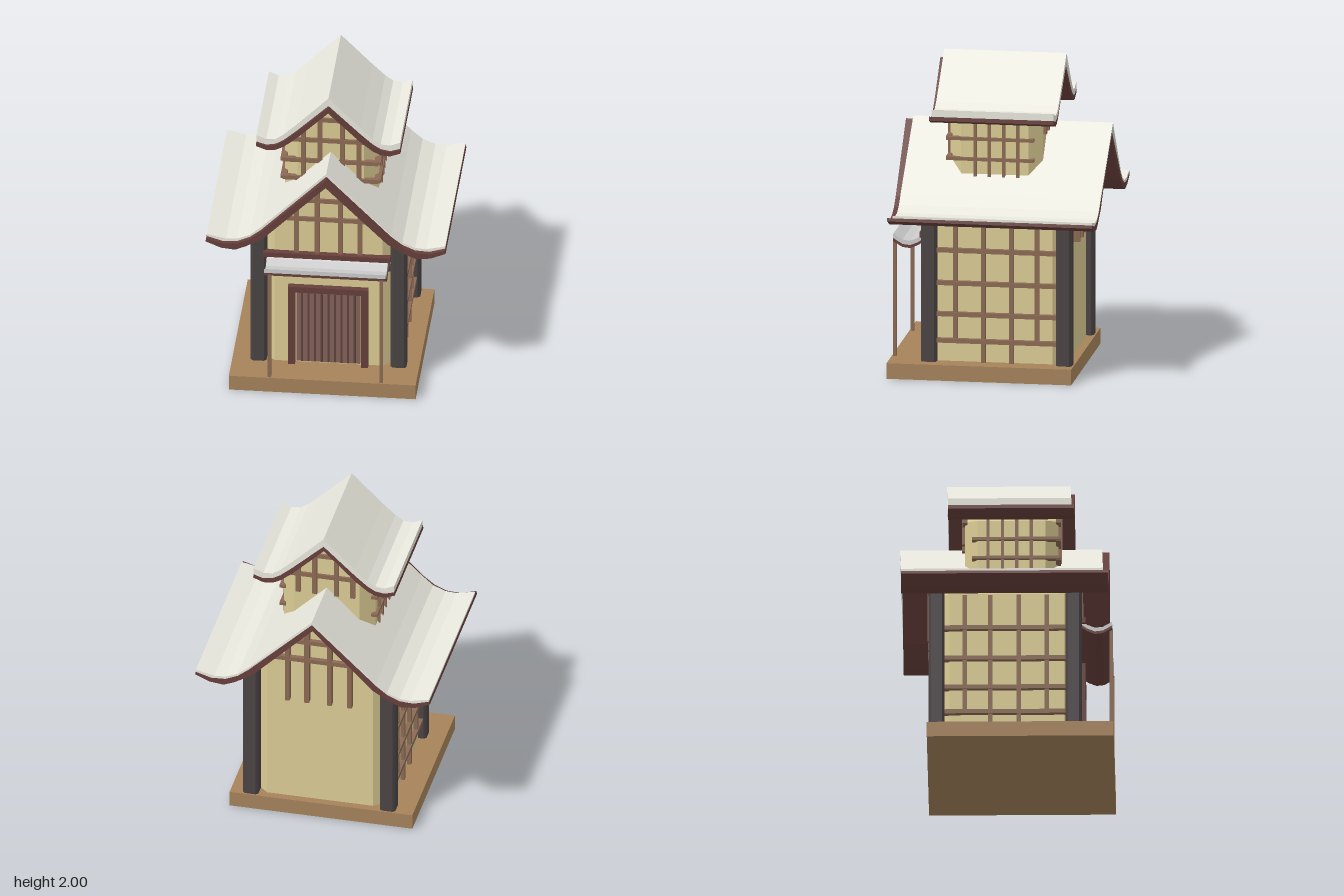
import * as THREE from 'three';

const mat = (color, extra = {}) => new THREE.MeshStandardMaterial({ color, flatShading: true, ...extra });
const M = {
  wall: mat(0xdbcb94), stick: mat(0x8b6a54), roof: mat(0xe8e8de), trim: mat(0x663f3b),
  post: mat(0x4a4344), base: mat(0xa5825a), door: mat(0x83625a), slat: mat(0x5e423c), awning: mat(0xbcbcbc),
};

function add(parent, name, geo, material) {
  const mesh = new THREE.Mesh(geo, material);
  mesh.name = name;
  parent.add(mesh);
  return mesh;
}

// Box given by its minimum and maximum on each axis
function box(parent, name, material, x0, x1, y0, y1, z0, z1) {
  const mesh = add(parent, name, new THREE.BoxGeometry(x1 - x0, y1 - y0, z1 - z0), material);
  mesh.position.set((x0 + x1) / 2, (y0 + y1) / 2, (z0 + z1) / 2);
  return mesh;
}

function extrude(points, depth) {
  const shape = new THREE.Shape(points.map(p => new THREE.Vector2(...p)));
  return new THREE.ExtrudeGeometry(shape, { depth, bevelEnabled: false });
}

// Turns half of a symmetric curve (ridge to eave) into the full curve, right to left
const mirror = half => [...half.slice().reverse(), ...half.slice(1).map(([x, y]) => [-x, y])];

// Curved roof layer between two half profiles; ridge pushes the ridge line backwards
function roofLayer(parent, name, material, top, bottom, z0, z1, ridge = 0) {
  const geo = extrude([...mirror(top), ...mirror(bottom).reverse()], z1 - z0);
  geo.translate(0, 0, z0);
  const p = geo.attributes.position;
  for (let i = 0; i < p.count; i++) {
    p.setZ(i, p.getZ(i) - ridge * Math.max(0, 1 - Math.abs(p.getX(i)) / 0.4));
  }
  geo.computeVertexNormals();
  return add(parent, name, geo, material);
}

// Gabled walls with chamfered corners, lofted from four cross-sections along z
function gabledWalls(parent, name, inner, outer, z0, z1, chamfer) {
  const rings = [[inner, z1], [outer, z1 - chamfer], [outer, z0 + chamfer], [inner, z0]]
    .map(([half, z]) => [...half.map(([x, y]) => [x, y, z]), ...half.slice(0, -1).reverse().map(([x, y]) => [-x, y, z])]);
  const n = rings[0].length, index = [];
  for (let r = 0; r < 3; r++) {
    for (let i = 0; i < n; i++) {
      const j = (i + 1) % n, a = r * n + i, b = r * n + j;
      index.push(a, a + n, b, b, a + n, b + n);
    }
  }
  for (let i = 1; i < n - 1; i++) index.push(0, i, i + 1, 3 * n, 3 * n + i + 1, 3 * n + i);
  const geo = new THREE.BufferGeometry();
  geo.setAttribute('position', new THREE.Float32BufferAttribute(rings.flat(2), 3));
  geo.setIndex(index);
  geo.computeVertexNormals();
  return add(parent, name, geo, M.wall);
}

// Lattice on a front or back wall: uprights [x, y0, y1], rails [y, halfLength]
function gableLattice(parent, name, z, uprights, rails) {
  const g = new THREE.Group();
  g.name = name;
  parent.add(g);
  for (const [x, y0, y1] of uprights) box(g, 'upright', M.stick, x - 0.015, x + 0.015, y0, y1, z - 0.02, z + 0.02);
  for (const [y, w] of rails) box(g, 'rail', M.stick, -w, w, y - 0.014, y + 0.014, z - 0.015, z + 0.015);
}

// Lattice on a side wall: uprights [z, y0], rails [y]
function sideLattice(parent, name, x, uprights, rails, top, z0, z1, t) {
  const g = new THREE.Group();
  g.name = name;
  parent.add(g);
  for (const [z, y0] of uprights) box(g, 'upright', M.stick, x - 0.015, x + 0.015, y0, top, z - t, z + t);
  for (const y of rails) box(g, 'rail', M.stick, x - 0.02, x + 0.02, y - t, y + t, z0, z1);
}

function buildHouse(root) {
  const house = new THREE.Group();
  house.name = 'house';
  root.add(house);
  box(house, 'base', M.base, -0.605, 0.57, 0, 0.1, -0.5, 0.67);
  gabledWalls(house, 'walls',
    [[0.34, 0.1], [0.34, 1.07], [0.19, 1.29], [0, 1.49]],
    [[0.44, 0.1], [0.44, 1.06], [0.19, 1.31], [0, 1.5]], -0.45, 0.45, 0.09);

  // Corner posts with trimmed edges
  const c = 0.05, d = 0.035;
  const section = [[c, -d], [c, d], [d, c], [-d, c], [-c, d], [-c, -d], [-d, -c], [d, -c]];
  for (const x of [-0.44, 0.44]) {
    for (const z of [-0.44, 0.418]) {
      const post = add(house, 'cornerPost', extrude(section, 0.98), M.post);
      post.rotation.x = -Math.PI / 2;
      post.position.set(x, 0.1, z);
    }
  }

  // Wall lattices
  for (const s of [-1, 1]) {
    sideLattice(house, 'sideLattice', s * 0.45, [[0.25, 0.23], [0.075, 0.1], [-0.105, 0.1], [-0.265, 0.23]],
      [0.235, 0.405, 0.605, 0.815], 1.04, -0.41, 0.385, 0.014);
  }
  const uprights = y => [[-0.2, y, 1.28], [-0.07, y, 1.42], [0.075, y, 1.42], [0.2, y, 1.28]];
  const rails = [[1.285, 0.2], [1.15, 0.34]];
  gableLattice(house, 'frontLattice', 0.45, uprights(0.88), rails);
  gableLattice(house, 'backLattice', -0.48, uprights(0.84), rails);

  // Main roof: pale covering over a dark timber layer
  const top = [[0, 1.565], [0.41, 1.16], [0.48, 1.1], [0.56, 1.067], [0.63, 1.063], [0.75, 1.09]];
  const mid = [[0, 1.545], [0.41, 1.14], [0.48, 1.085], [0.56, 1.05], [0.65, 1.045], [0.75, 1.075]];
  const low = [[0, 1.49], [0.39, 1.1], [0.5, 1.035], [0.57, 1.005], [0.66, 1.015], [0.755, 1.055]];
  roofLayer(house, 'mainRoof', M.roof, top, mid, -0.66, 0.605, 0.015);
  roofLayer(house, 'mainRoofTimber', M.trim, mid, low, -0.66, 0.637);
}

function buildTower(root) {
  const tower = new THREE.Group();
  tower.name = 'tower';
  root.add(tower);
  gabledWalls(tower, 'towerWalls',
    [[0.21, 1.18], [0.21, 1.66], [0.12, 1.78], [0, 1.9]],
    [[0.295, 1.18], [0.295, 1.63], [0.13, 1.79], [0, 1.91]], -0.265, 0.32, 0.08);
  for (const s of [-1, 1]) {
    sideLattice(tower, 'towerSideLattice', s * 0.295, [[0.15, 1.25], [0.06, 1.25], [-0.03, 1.25], [-0.12, 1.25]],
      [1.37, 1.5], 1.64, -0.22, 0.33, 0.01);
  }
  const uprights = y => [[-0.17, y, 1.74], [-0.065, y, 1.84], [0.075, y, 1.84], [0.18, y, 1.74]];
  gableLattice(tower, 'towerFrontLattice', 0.32, uprights(1.3), [[1.8, 0.1], [1.65, 0.25], [1.5, 0.3], [1.37, 0.3]]);
  gableLattice(tower, 'towerBackLattice', -0.265, uprights(1.52), [[1.8, 0.1], [1.65, 0.25]]);

  const top = [[0, 2], [0.2, 1.8], [0.28, 1.725], [0.33, 1.69], [0.39, 1.685], [0.452, 1.71]];
  const mid = [[0, 1.945], [0.2, 1.755], [0.28, 1.685], [0.33, 1.655], [0.39, 1.645], [0.452, 1.665]];
  const low = [[0, 1.905], [0.2, 1.71], [0.28, 1.645], [0.33, 1.62], [0.39, 1.615], [0.455, 1.64]];
  const layers = [
    roofLayer(tower, 'towerRoof', M.roof, top, mid, -0.37, 0.405, 0.01),
    roofLayer(tower, 'towerRoofTimber', M.trim, mid, low, -0.37, 0.42),
  ];
  for (const layer of layers) layer.position.x = -0.006;
}

function buildEntrance(root) {
  const entrance = new THREE.Group();
  entrance.name = 'entrance';
  root.add(entrance);

  // Door frame, door and slats
  for (const x of [-0.23, 0.23]) box(entrance, 'doorJamb', M.trim, x - 0.022, x + 0.022, 0.1, 0.665, 0.44, 0.49);
  box(entrance, 'doorLintel', M.trim, -0.252, 0.252, 0.625, 0.665, 0.44, 0.49);
  box(entrance, 'door', M.door, -0.2, 0.2, 0.115, 0.615, 0.44, 0.468);
  for (let i = 0; i < 9; i++) {
    const x = -0.165 + i * 0.0415;
    box(entrance, 'doorSlat', M.slat, x - 0.006, x + 0.006, 0.12, 0.615, 0.46, 0.477);
  }

  // Awning: profile in z and y, swept along x
  const top = [[0.47, 0.89], [0.5, 0.868], [0.55, 0.847], [0.6, 0.853], [0.658, 0.888]];
  const drop = (pts, h) => pts.map(([z, y]) => [z, y - h]);
  const awning = (name, material, h0, h1, half) => {
    const mesh = add(entrance, name, extrude([...drop(top, h1), ...drop(top, h0).reverse()], half * 2), material);
    mesh.rotation.y = -Math.PI / 2;
    mesh.position.x = half - 0.004;
  };
  awning('awningCover', M.awning, 0, 0.028, 0.38);
  awning('awningTimber', M.trim, 0.028, 0.046, 0.385);
  box(entrance, 'awningBeam', M.trim, -0.41, 0.39, 0.872, 0.908, 0.445, 0.49);
  box(entrance, 'wallBeam', M.post, -0.39, 0.39, 0.8, 0.84, 0.44, 0.465);
  for (const x of [-0.352, 0.352]) box(entrance, 'awningPole', M.stick, x - 0.011, x + 0.011, 0.1, 0.85, 0.64, 0.662);
}

export function createModel() {
  const root = new THREE.Group();
  root.name = 'gabledHouse';
  buildHouse(root);
  buildTower(root);
  buildEntrance(root);
  return root;
}
